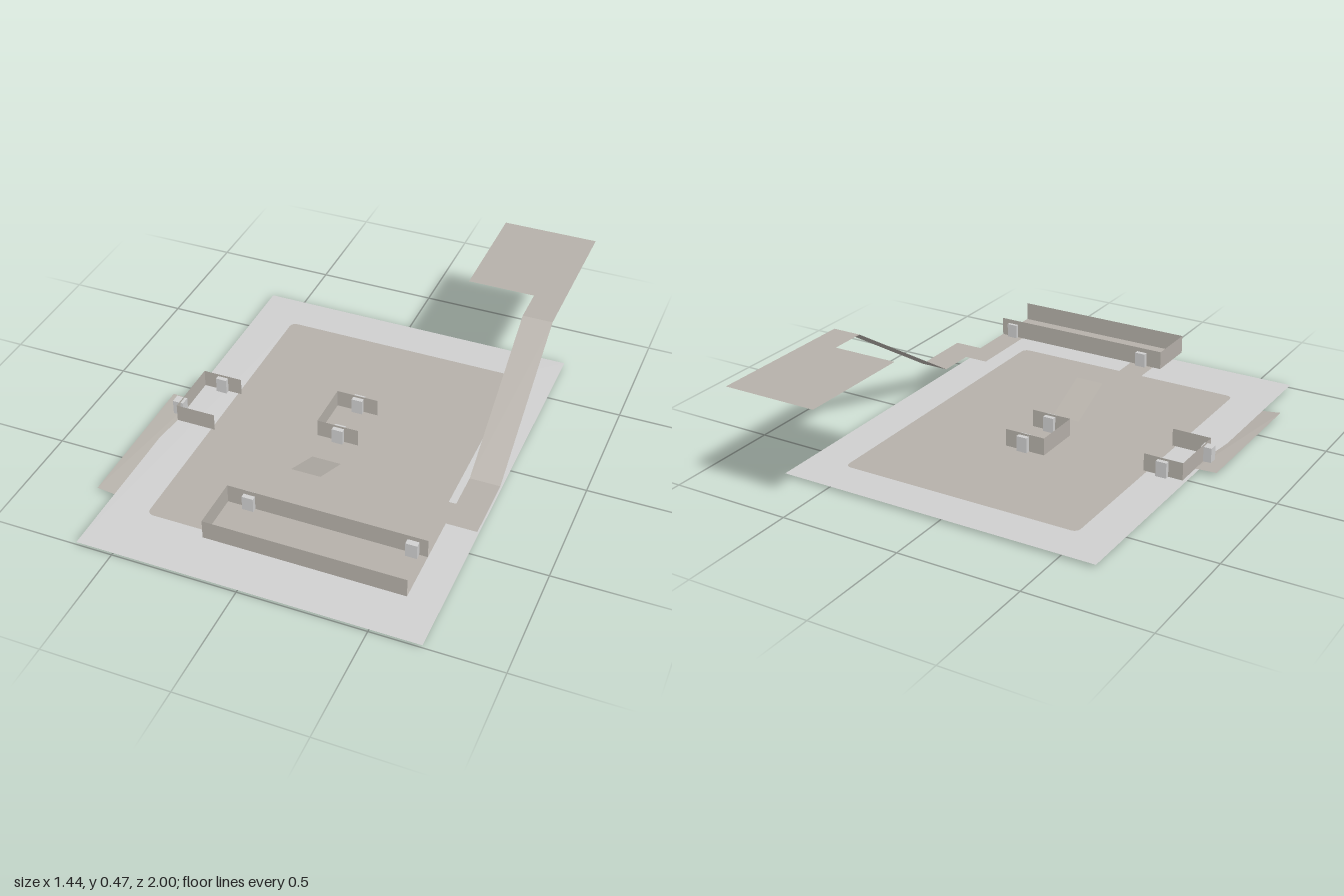
import * as THREE from 'three';

const mat = (name, color) => {
  const m = new THREE.MeshStandardMaterial({ color, side: THREE.DoubleSide });
  m.name = name;
  return m;
};

export function createModel() {
  const grey = mat('pale grey', 0xd0d0d0);
  const tan = mat('warm concrete', 0xb6b1aa);
  const group = new THREE.Group();
  const GROUND = 0.012, DECK = 0.105, ROOF = 0.47;

  const add = (name, geo, material, y = 0) => {
    const mesh = new THREE.Mesh(geo, material);
    mesh.name = name;
    mesh.position.y = y;
    group.add(mesh);
    return mesh;
  };

  // Flat sheet from an [x, z] outline, facing up
  const points = (list) => list.map(([x, z]) => new THREE.Vector2(x, -z));
  const sheet = (name, outline, y, material, hole) => {
    const shape = new THREE.Shape(points(outline));
    if (hole) shape.holes.push(new THREE.Path(points(hole)));
    return add(name, new THREE.ShapeGeometry(shape).rotateX(-Math.PI / 2), material, y);
  };

  // Strip of quads between two rails of [x, y, z] points
  const ribbon = (name, railA, railB, material) => {
    const pos = [], index = [];
    railA.forEach((a, i) => {
      pos.push(...a, ...railB[i]);
      if (i) {
        const k = 2 * i;
        index.push(k - 2, k - 1, k, k, k - 1, k + 1);
      }
    });
    let geo = new THREE.BufferGeometry();
    geo.setAttribute('position', new THREE.Float32BufferAttribute(pos, 3));
    geo.setIndex(index);
    geo = geo.toNonIndexed();
    geo.computeVertexNormals();
    return add(name, geo, material);
  };

  // Ground apron around the paved floor, with softened corners
  const floor = [];
  const x0 = -0.48, x1 = 0.54, z0 = -0.575, z1 = 0.765, r = 0.025;
  [[x1, z1, 0], [x0, z1, 1], [x0, z0, 2], [x1, z0, 3]].forEach(([x, z, q]) => {
    for (let i = 0; i <= 3; i++) {
      const a = (q + i / 3) * Math.PI / 2;
      floor.push([x - r * Math.sign(x) + r * Math.cos(a), z - r * Math.sign(z) + r * Math.sin(a)]);
    }
  });
  sheet('groundApron', [[-0.645, 1], [0.7, 1], [0.7, -0.74], [-0.645, -0.74]], GROUND, grey, floor);
  sheet('pavedFloor', floor, GROUND, tan);

  // Slightly tilted strip beside the ground
  ribbon('sideStrip',
    [[-0.72, 0.018, 0.08], [-0.72, 0.016, 0.71]],
    [[-0.63, 0.014, 0.08], [-0.63, 0.005, 0.71]], tan);

  // Raised deck: tray floor, rear landing and walkway to the long ramp
  sheet('raisedDeck', [
    [-0.18, 0.89], [0.6, 0.89], [0.6, 0.49], [0.72, 0.49], [0.72, 0.22], [0.6, 0.22],
    [0.6, 0.375], [0.5, 0.375], [0.5, 0.68], [-0.04, 0.68], [-0.04, 0.555], [0.08, 0.555],
    [0.08, 0.425], [-0.18, 0.425], [-0.18, 0.555], [-0.145, 0.555], [-0.145, 0.68], [-0.18, 0.68],
  ], DECK, tan);

  // Short ramp down to the floor, long ramp up to the top platform
  const ramp = (name, xa, xb, path) =>
    ribbon(name, path.map(([y, z]) => [xb, y, z]), path.map(([y, z]) => [xa, y, z]), tan);
  ramp('shortRamp', -0.04, 0.08, [[DECK, 0.425], [GROUND, 0.225]]);
  ramp('longRamp', 0.6, 0.72, [[DECK, 0.22], [ROOF, -0.365]]);
  sheet('topPlatform', [
    [0.6, -0.365], [0.72, -0.365], [0.72, -1], [0.33, -1], [0.33, -0.515], [0.6, -0.515],
  ], ROOF, tan);

  // Three-sided walls, each open towards +x
  const walls = (name, xa, xb, za, zb, y, h) => {
    const plan = [[xb, za], [xa, za], [xa, zb], [xb, zb]];
    ribbon(name, plan.map(([x, z]) => [x, y + h, z]), plan.map(([x, z]) => [x, y, z]), tan);
  };
  walls('trayWalls', -0.18, 0.6, 0.68, 0.89, DECK, 0.077);
  walls('centreWalls', -0.073, 0.1, -0.112, 0.095, GROUND, 0.073);
  walls('sideWalls', -0.63, -0.465, -0.03, 0.22, GROUND, 0.073);

  // Small posts set into the walls
  [
    [-0.547, -0.03, 0], [-0.641, 0.17, 0], [0.018, -0.112, 0],
    [0.018, 0.095, 0], [-0.092, 0.68, 0.1], [0.545, 0.685, 0.1],
  ].forEach(([x, z, y]) => {
    const h = y ? 0.064 : 0.076;
    add('post', new THREE.BoxGeometry(0.045, h, 0.038), grey, y + h / 2).position.set(x, y + h / 2, z);
  });

  return group;
}
